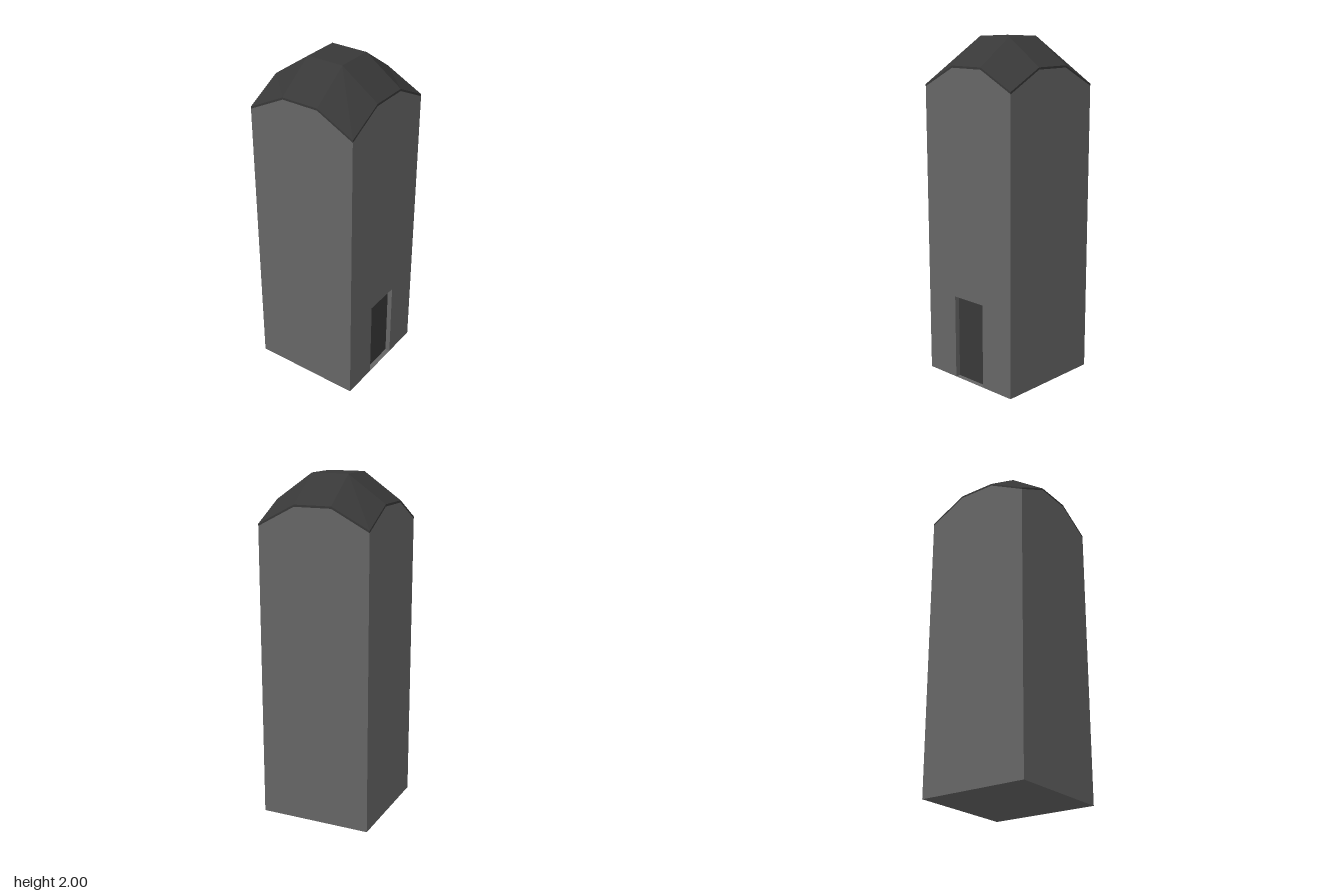
import * as THREE from 'three';

const HALF = 0.333, THIRD = 0.111;
const LOW = 1.73, MID = 1.845, TOP = 2;
const LIP = 0.012;
const DOOR_W = 0.226, DOOR_H = 0.505, RECESS = 0.03;

const wallMat = new THREE.MeshStandardMaterial({ color: 0x666666, flatShading: true, side: THREE.DoubleSide });
const roofMat = new THREE.MeshStandardMaterial({ color: 0x383838, flatShading: true, side: THREE.DoubleSide });

function add(parent, name, geometry, material, x = 0, y = 0, z = 0) {
  const mesh = new THREE.Mesh(geometry, material);
  mesh.name = name;
  mesh.position.set(x, y, z);
  parent.add(mesh);
  return mesh;
}

// Wall outline with a stepped arch top, optionally notched for the doorway
function wallShape(withDoor) {
  const d = DOOR_W / 2;
  const notch = withDoor ? [[-d, 0], [-d, DOOR_H], [d, DOOR_H], [d, 0]] : [];
  const pts = [[-HALF, 0], ...notch, [HALF, 0], [HALF, LOW - LIP],
    [THIRD, MID - LIP], [-THIRD, MID - LIP], [-HALF, LOW - LIP]];
  return new THREE.Shape(pts.map(([x, y]) => new THREE.Vector2(x, y)));
}

// Thin roof edge that follows the top of a wall
function lipShape() {
  const line = [[-HALF, LOW], [-THIRD, MID], [THIRD, MID], [HALF, LOW]];
  const under = line.map(([x, y]) => [x, y - LIP]).reverse();
  return new THREE.Shape([...under, ...line].map(([x, y]) => new THREE.Vector2(x, y)));
}

// Faceted dome: a 3 x 3 grid raised in the middle
function roofGeometry() {
  const g = new THREE.PlaneGeometry(HALF * 2, HALF * 2, 3, 3).rotateX(-Math.PI / 2);
  const p = g.attributes.position;
  for (let i = 0; i < p.count; i++) {
    const rims = [p.getX(i), p.getZ(i)].filter((v) => Math.abs(v) > 0.3).length;
    p.setY(i, [TOP, MID, LOW][rims]);
  }
  g.computeVertexNormals();
  return g;
}

export function createModel() {
  const tower = new THREE.Group();
  tower.name = 'tower';

  // Four walls and the roof edge above each
  ['front', 'left', 'back', 'right'].forEach((side, i) => {
    const group = new THREE.Group();
    group.name = side + 'Side';
    group.rotation.y = i * Math.PI / 2;
    add(group, side + 'Wall', new THREE.ShapeGeometry(wallShape(i === 0)), wallMat, 0, 0, HALF);
    add(group, side + 'RoofEdge', new THREE.ShapeGeometry(lipShape()), roofMat, 0, 0, HALF);
    tower.add(group);
  });

  add(tower, 'roof', roofGeometry(), roofMat);
  add(tower, 'base', new THREE.PlaneGeometry(HALF * 2, HALF * 2).rotateX(Math.PI / 2), wallMat);

  // Recessed doorway
  const doorway = new THREE.Group();
  doorway.name = 'doorway';
  add(doorway, 'door', new THREE.PlaneGeometry(DOOR_W, DOOR_H), roofMat, 0, DOOR_H / 2, HALF - RECESS);
  for (const s of [-1, 1]) {
    add(doorway, s > 0 ? 'leftJamb' : 'rightJamb',
      new THREE.PlaneGeometry(RECESS, DOOR_H).rotateY(-s * Math.PI / 2),
      wallMat, s * DOOR_W / 2, DOOR_H / 2, HALF - RECESS / 2);
  }
  add(doorway, 'lintel', new THREE.PlaneGeometry(DOOR_W, RECESS).rotateX(Math.PI / 2),
    wallMat, 0, DOOR_H, HALF - RECESS / 2);
  tower.add(doorway);

  return tower;
}
